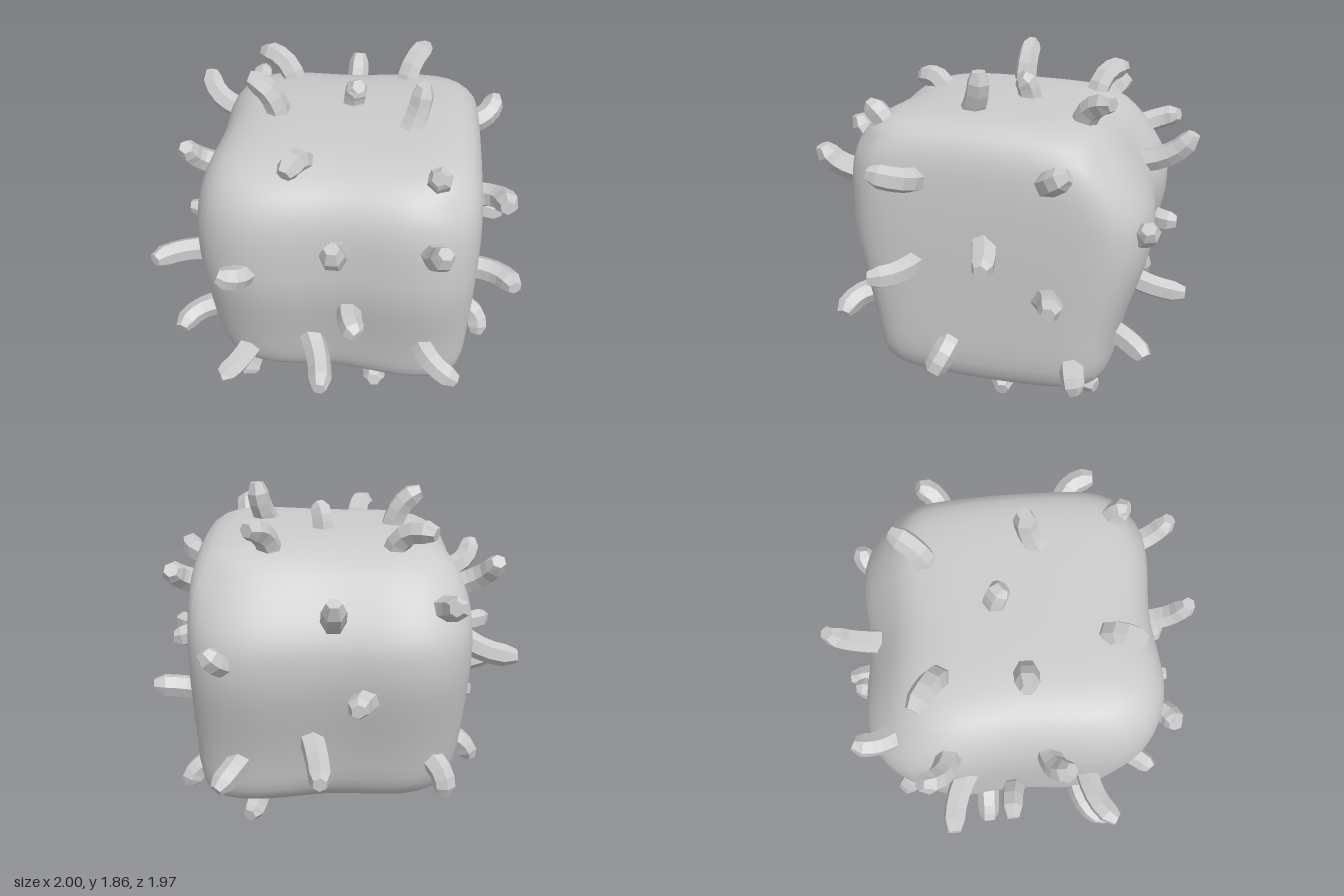
import * as THREE from 'three';
import { mergeVertices } from 'three/addons/utils/BufferGeometryUtils.js';

const CENTRE = new THREE.Vector3(0.03, 0.91, 0);
const HALF = new THREE.Vector3(0.74, 0.74, 0.79);
const FLARED = true;

// Each spike: base x, y, z, then tip x, y, z; a flared one leans first and straightens at the tip
const SPIKES = {
  front: [
    [0.05, 1.28, 0.76, 0.05, 1.46, 0.96], [0.51, 1.3, 0.74, 0.57, 1.45, 0.93],
    [-0.4, 1.11, 0.76, -0.53, 1.16, 0.86], [0.11, 0.88, 0.75, 0.17, 0.86, 0.91],
    [-0.13, 0.63, 0.68, -0.02, 0.53, 0.99, FLARED], [0.5, 0.6, 0.69, 0.69, 0.51, 0.84],
    [-0.46, 0.44, 0.66, -0.59, 0.4, 0.84],
  ],
  right: [
    [0.75, 1.38, 0.35, 0.87, 1.44, 0.54], [0.76, 0.92, 0.38, 0.97, 0.92, 0.54],
    [0.76, 1.11, 0.02, 0.92, 1, -0.03, FLARED], [0.76, 0.77, -0.28, 0.98, 0.85, -0.38, FLARED],
    [0.73, 1.41, -0.31, 0.84, 1.51, -0.44], [0.74, 0.47, 0.2, 0.83, 0.31, 0.28],
    [0.71, 0.42, -0.45, 0.8, 0.3, -0.49],
  ],
  left: [
    [-0.69, 1.13, -0.24, -0.98, 1, -0.37, FLARED], [-0.7, 0.93, 0.38, -0.97, 0.93, 0.52],
    [-0.69, 0.68, 0.02, -0.91, 0.88, -0.05, FLARED], [-0.65, 1.4, -0.35, -0.82, 1.56, -0.49],
    [-0.66, 1.34, 0.15, -0.8, 1.5, 0.25], [-0.67, 0.5, 0.36, -0.88, 0.42, 0.52],
    [-0.66, 0.44, -0.18, -0.79, 0.29, -0.19],
  ],
  back: [
    [0.02, 1.32, -0.71, 0.02, 1.49, -0.95], [-0.22, 0.93, -0.74, -0.1, 0.92, -0.89, FLARED],
    [0.15, 0.7, -0.67, 0.09, 0.57, -0.98, FLARED], [0.5, 0.53, -0.62, 0.62, 0.45, -0.82],
    [0.54, 1.1, -0.71, 0.65, 1.2, -0.8], [-0.53, 1.36, -0.64, -0.56, 1.42, -0.83],
    [-0.51, 0.5, -0.59, -0.57, 0.33, -0.67],
  ],
  top: [
    [-0.3, 1.58, -0.37, -0.5, 1.7, -0.5], [0.33, 1.58, -0.4, 0.44, 1.74, -0.57],
    [0.33, 1.62, 0.22, 0.43, 1.86, 0.11, FLARED], [-0.32, 1.61, 0.06, -0.48, 1.82, 0.05],
    [0.06, 1.63, -0.07, 0.09, 1.76, -0.02], [-0.14, 1.59, 0.48, -0.21, 1.64, 0.66],
    [0.52, 1.57, 0.57, 0.52, 1.68, 0.67],
  ],
  bottom: [
    [-0.34, 0.22, -0.04, -0.38, 0.03, 0.06], [0.38, 0.22, 0, 0.53, 0.05, -0.02],
    [-0.05, 0.2, -0.1, -0.03, 0.1, -0.07], [-0.46, 0.29, 0.54, -0.48, 0.18, 0.62],
    [0.24, 0.24, 0.52, 0.25, 0.2, 0.61], [0.42, 0.25, -0.43, 0.48, 0.13, -0.55],
  ],
};

// Lumpy rounded cube, narrower below, with its upper back edge worn down
function bodyGeometry() {
  let geo = new THREE.BoxGeometry(2, 2, 2, 24, 24, 24);
  geo.deleteAttribute('uv');
  geo.deleteAttribute('normal');
  geo = mergeVertices(geo);
  const pos = geo.attributes.position;
  const v = new THREE.Vector3();
  for (let i = 0; i < pos.count; i++) {
    v.fromBufferAttribute(pos, i);
    // Even out the spacing before rounding; edges are sharper towards +x, except its upper corners
    v.set(...v.toArray().map((c) => Math.tan(c * Math.PI / 4)));
    const power = 5.5 + 2.5 * Math.max(v.x, 0) * (1 - v.z * v.z * (1 + v.y) / 2);
    const norm = v.toArray().reduce((s, c) => s + Math.abs(c) ** power, 0) ** (1 / power);
    v.divideScalar(norm).multiply(HALF);
    const { x, y, z } = v;
    const low = THREE.MathUtils.smoothstep(-y, -0.2, 0.55);
    const high = THREE.MathUtils.smoothstep(y, 0.25, 0.7);
    const taper = z > 0 ? 0.14 * low : 0.18 * low + 0.17 * high;
    v.z *= (1 - taper) * (1 - 0.02 * Math.cos(Math.PI * x / 0.4));
    v.x *= 1 - (x < 0 ? 0.04 : 0.015) * (low + high);
    if (x < 0) v.x *= 1 - 0.018 * Math.cos(Math.PI * z / 0.45);
    v.y *= y > 0 ? 1 + 0.03 * x + 0.03 * z - 0.1 * z * z : 1 - 0.1 * z * z;
    v.add(CENTRE);
    pos.setXYZ(i, v.x, v.y, v.z);
  }
  geo.computeVertexNormals();
  return geo;
}

// Outward direction of the rounded cube near a point
function outward(p) {
  const d = p.clone().sub(CENTRE).divide(HALF);
  return new THREE.Vector3(...d.toArray().map((c) => Math.sign(c) * Math.abs(c) ** 4)).normalize();
}

// Six-sided prism bent along a curve, with a bevelled tip
function spikeGeometry([bx, by, bz, tx, ty, tz, flared]) {
  const base = new THREE.Vector3(bx, by, bz);
  const tip = new THREE.Vector3(tx, ty, tz);
  const normal = outward(base);
  const reach = base.distanceTo(tip) * 0.6;
  const bend = flared
    ? tip.clone().addScaledVector(normal, -reach)
    : base.clone().addScaledVector(normal, reach);
  base.addScaledVector(normal, -0.06);
  const curve = new THREE.QuadraticBezierCurve3(base, bend, tip);
  const side = normal.clone().cross(tip.clone().sub(base)).normalize();

  const geo = new THREE.CylinderGeometry(1, 1, 1, 6, 6);
  const pos = geo.attributes.position;
  const v = new THREE.Vector3();
  for (let i = 0; i < pos.count; i++) {
    v.fromBufferAttribute(pos, i);
    const t = v.y + 0.5;
    const radius = t > 0.95 ? 0.038 : 0.068 - 0.008 * t;
    const across = curve.getTangentAt(t).cross(side);
    const p = curve.getPointAt(t)
      .addScaledVector(across, v.x * radius)
      .addScaledVector(side, v.z * radius);
    pos.setXYZ(i, p.x, p.y, p.z);
  }
  geo.computeVertexNormals();
  return geo;
}

export function createModel() {
  const model = new THREE.Group();
  model.name = 'spikyCube';
  const smooth = new THREE.MeshStandardMaterial({ color: 0xcccccc });
  const faceted = new THREE.MeshStandardMaterial({ color: 0xcccccc, flatShading: true });

  const body = new THREE.Mesh(bodyGeometry(), smooth);
  body.name = 'body';
  model.add(body);

  // Lists are keyed as seen from the front; the model's own left is +x
  const ownSide = { right: 'left', left: 'right' };
  for (const [face, list] of Object.entries(SPIKES)) {
    const group = new THREE.Group();
    group.name = `${ownSide[face] ?? face}Spikes`;
    for (const spike of list) {
      const mesh = new THREE.Mesh(spikeGeometry(spike), faceted);
      mesh.name = 'spike';
      group.add(mesh);
    }
    model.add(group);
  }
  return model;
}
